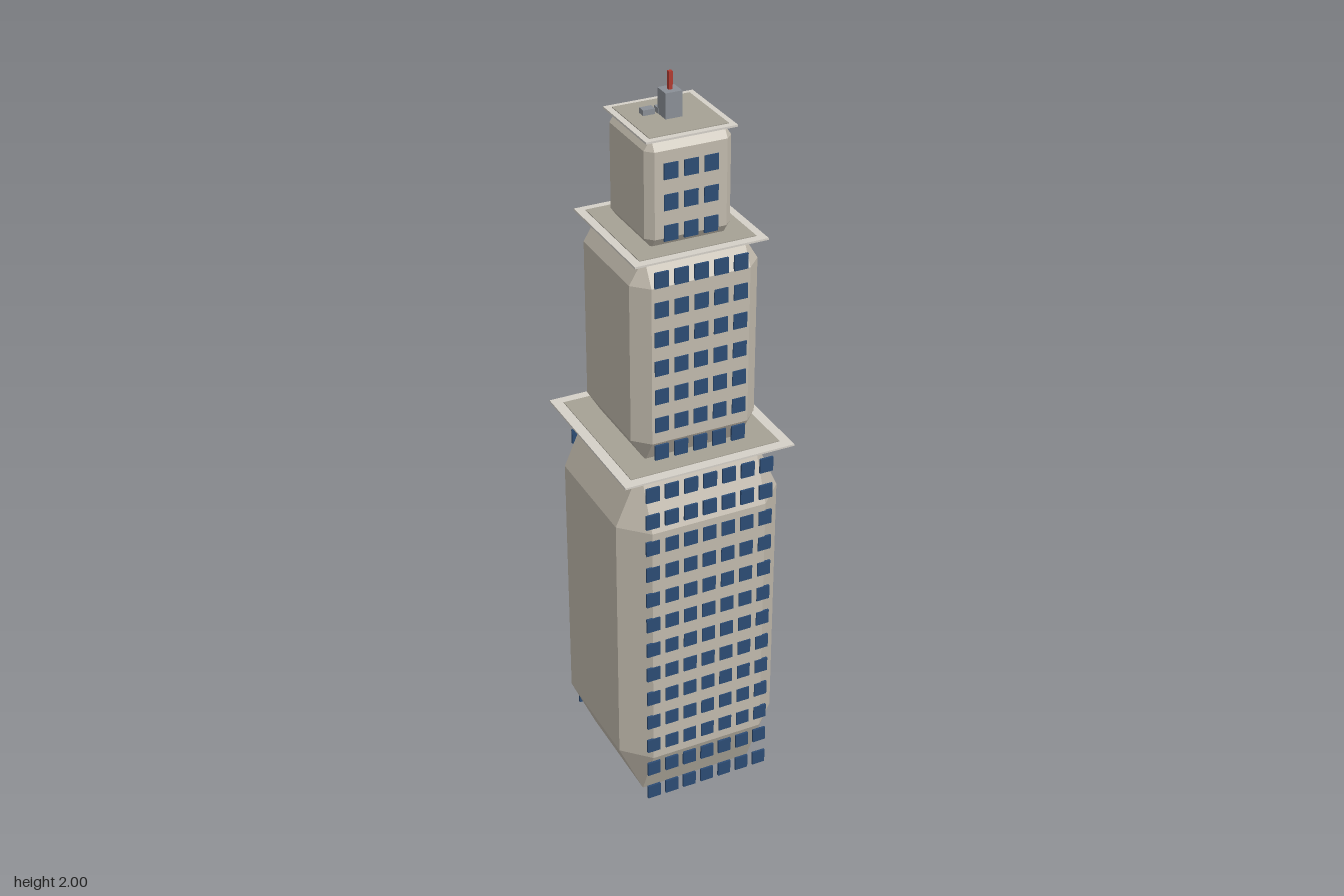
import * as THREE from 'three';
import { ConvexGeometry } from 'three/addons/geometries/ConvexGeometry.js';

const mat = (color) => new THREE.MeshStandardMaterial({ color, flatShading: true });
const stone = mat(0xc0b9ac), trim = mat(0xd4d0c8), deckMat = mat(0xa5a194);
const glass = mat(0x2c4c74), metal = mat(0x8a8f96), red = mat(0xb03a30);

// Box centred on x, z = 0 by default, standing on y
function box(name, w, h, d, material, x, y, z) {
  const mesh = new THREE.Mesh(new THREE.BoxGeometry(w, h, d), material);
  mesh.name = name;
  mesh.position.set(x, y + h / 2, z);
  return mesh;
}

// Block with every edge cut off: hull of the corners of its six faces
function chamferedBlock(half, inner, y0, y1, cut) {
  const points = [];
  const mid = (y0 + y1) / 2, hy = (y1 - y0) / 2;
  for (const sx of [-1, 1]) for (const sy of [-1, 1]) for (const sz of [-1, 1]) {
    points.push(
      new THREE.Vector3(sx * half, mid + sy * (hy - cut), sz * inner),
      new THREE.Vector3(sx * inner, mid + sy * hy, sz * inner),
      new THREE.Vector3(sx * inner, mid + sy * (hy - cut), sz * half));
  }
  return new ConvexGeometry(points);
}

// Rows and columns of window panes on the front and back
function windows(cols, rows, firstY, z) {
  const group = new THREE.Group();
  group.name = 'windows';
  for (const side of [-1, 1]) for (let r = 0; r < rows; r++) for (let c = 0; c < cols; c++) {
    const x = (c - (cols - 1) / 2) * 0.053;
    group.add(box('window', 0.037, 0.041, 0.006, glass, x, firstY + r * 0.0796 - 0.0205, side * z));
  }
  return group;
}

export function createModel() {
  const model = new THREE.Group();
  model.name = 'tower';

  // Three stacked tiers, each with windows and a ledge on top
  const tiers = [
    { name: 'lowerTier', half: 0.229, inner: 0.16, y0: 0, y1: 1.04, cut: 0.158, cols: 7, rows: 13, firstY: 0.045, ledge: 0.235, deck: 0.207 },
    { name: 'middleTier', half: 0.172, inner: 0.132, y0: 1.04, y1: 1.604, cut: 0.067, cols: 5, rows: 7, firstY: 1.08, ledge: 0.177, deck: 0.155 },
    { name: 'upperTier', half: 0.114, inner: 0.095, y0: 1.604, y1: 1.884, cut: 0.028, cols: 3, rows: 3, firstY: 1.645, ledge: 0.119, deck: 0.103 },
  ];
  for (const t of tiers) {
    const tier = new THREE.Group();
    tier.name = t.name;
    const block = new THREE.Mesh(chamferedBlock(t.half, t.inner, t.y0, t.y1, t.cut), stone);
    block.name = 'block';
    tier.add(block, windows(t.cols, t.rows, t.firstY, t.half));
    tier.add(box('ledge', t.ledge * 2, 0.005, t.ledge * 2, trim, 0, t.y1 - 0.001, 0));
    tier.add(box('deck', t.deck * 2, 0.003, t.deck * 2, deckMat, 0, t.y1 + 0.003, 0));
    model.add(tier);
  }

  // Rooftop equipment and mast
  const roof = 1.888;
  model.add(
    box('machineRoom', 0.044, 0.067, 0.044, metal, 0, roof, 0),
    box('mast', 0.01, 2 - roof - 0.065, 0.01, red, 0, roof + 0.065, 0),
    box('ventUnit', 0.031, 0.016, 0.022, metal, -0.045, roof, -0.03),
    box('coolingUnit', 0.024, 0.016, 0.022, metal, -0.011, roof, -0.028),
    box('ventPipe', 0.009, 0.021, 0.009, metal, 0.051, roof, -0.053));
  return model;
}
